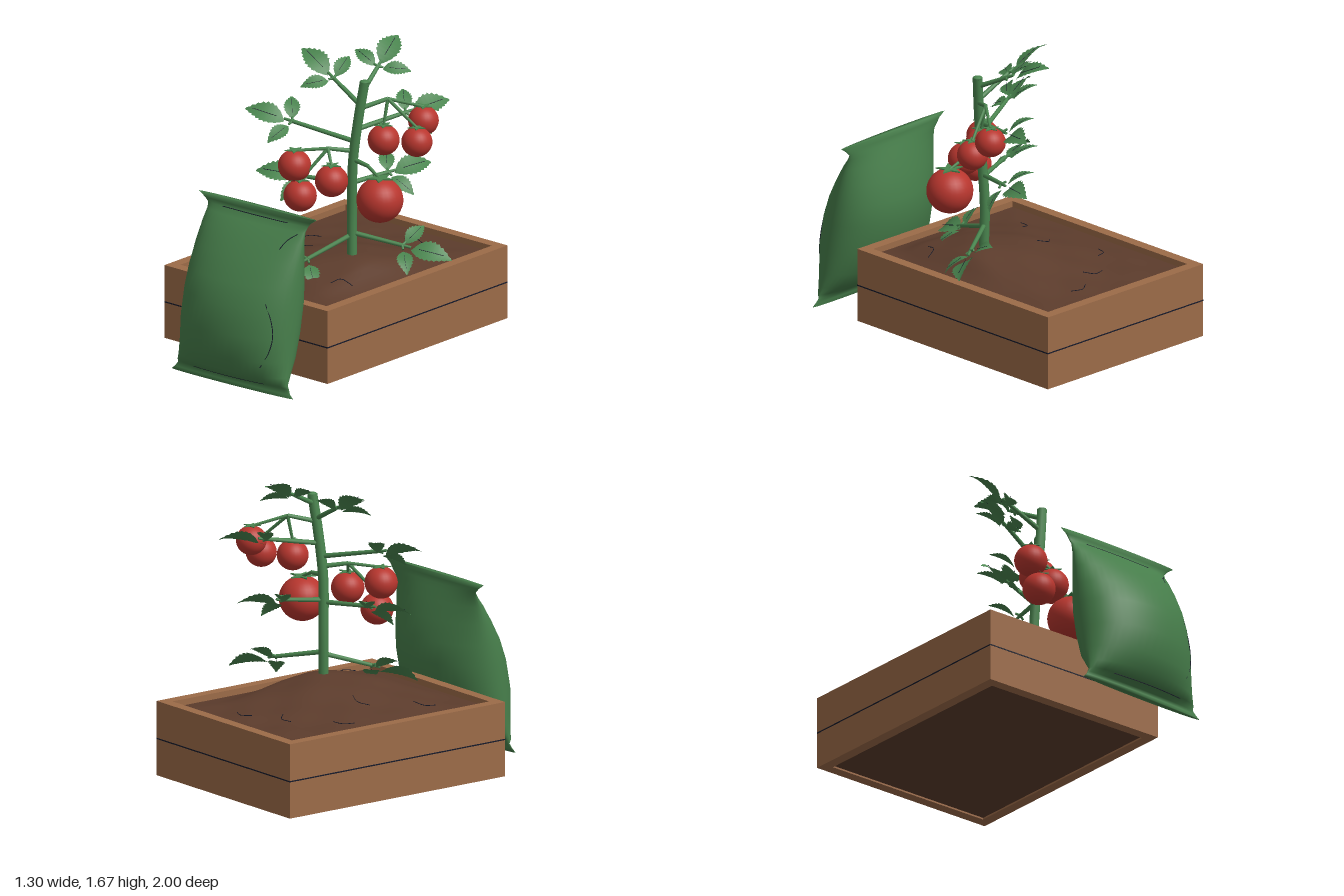
import * as THREE from 'three';

const V = (x, y, z) => new THREE.Vector3(x, y, z);
const UP = V(0, 1, 0);

export function createModel() {
  const model = new THREE.Group();
  const material = (name, color, side = THREE.FrontSide) =>
    Object.assign(new THREE.MeshStandardMaterial({ color, side }), { name });
  const wood = material('wood', 0x9c6b48);
  const soil = material('soil', 0x5c3c2c);
  const bagGreen = material('bag green', 0x467d4a, THREE.DoubleSide);
  const plantGreen = material('plant green', 0x4a854f, THREE.DoubleSide);
  const red = material('tomato red', 0xb8362e);
  const ink = material('dark line', 0x161a2a, THREE.DoubleSide);

  function add(name, geometry, mat, parent = model) {
    const mesh = new THREE.Mesh(geometry, mat);
    mesh.name = name;
    parent.add(mesh);
    return mesh;
  }
  function group(name) {
    const g = new THREE.Group();
    g.name = name;
    model.add(g);
    return g;
  }
  function box(name, size, pos, mat, parent) {
    add(name, new THREE.BoxGeometry(...size), mat, parent).position.set(...pos);
  }
  // Straight rod between two points
  function rod(name, a, b, r, parent, mat = plantGreen) {
    const m = add(name, new THREE.CylinderGeometry(r * 0.8, r, a.distanceTo(b), 8), mat, parent);
    m.position.copy(a).lerp(b, 0.5);
    m.quaternion.setFromUnitVectors(UP, b.clone().sub(a).normalize());
  }
  function line(name, points, parent, r = 0.003) {
    add(name, new THREE.TubeGeometry(new THREE.CatmullRomCurve3(points), 16, r, 4), ink, parent);
  }

  // Planter: four walls with a dark joint between upper and lower boards
  const planter = group('planter');
  const cx = -0.0625, cz = -0.25, W = 1.195, D = 1.5, H = 0.423, T = 0.062;
  for (const s of [-1, 1]) {
    box('sideWall', [T, H, D], [cx + s * (W - T) / 2, H / 2, cz], wood, planter);
    box('endWall', [W - 2 * T, H, T], [cx, H / 2, cz + s * (D - T) / 2], wood, planter);
    box('sideJoint', [0.003, 0.007, D], [cx + s * W / 2, 0.21, cz], ink, planter);
    box('endJoint', [W, 0.007, 0.003], [cx, 0.21, cz + s * D / 2], ink, planter);
  }

  // Soil block with a mound around the stem and gentle lumps
  const soilHeight = (x, z) => {
    const edge = Math.min(1, (0.537 - Math.abs(x - cx)) * 6, (0.69 - Math.abs(z - cz)) * 6);
    const d2 = (x - 0.12) ** 2 + (z + 0.12) ** 2;
    return 0.388 + Math.max(0, edge) *
      (0.127 * Math.exp(-d2 / 0.19) + 0.006 * Math.sin(x * 17 + 1) * Math.sin(z * 14));
  };
  const soilGeo = new THREE.BoxGeometry(W - 2 * T, 0.4, D - 2 * T, 28, 1, 36);
  soilGeo.translate(cx, 0.21, cz);
  const sp = soilGeo.attributes.position;
  for (let i = 0; i < sp.count; i++) {
    if (sp.getY(i) > 0.3) sp.setY(i, soilHeight(sp.getX(i), sp.getZ(i)));
  }
  soilGeo.computeVertexNormals();
  add('soil', soilGeo, soil, planter);
  for (const [x, z, turn] of [[-0.42, -0.44, 0.8], [-0.16, -0.65, -0.3], [0.06, -0.77, 0.1],
    [-0.24, -0.19, 0.2], [0.32, 0.14, 0.8], [-0.4, 0.14, 0.9]]) {
    const pts = [-1, 0, 1].map((k) => {
      const u = k * 0.06, v = k * k * 0.03 - 0.015;
      const px = x + u * Math.cos(turn) + v * Math.sin(turn);
      const pz = z - u * Math.sin(turn) + v * Math.cos(turn);
      return V(px, soilHeight(px, pz) + 0.002, pz);
    });
    line('soilCrease', pts, planter, 0.002);
  }

  // Bag: horizontal sections [y, back z, front z, half width]
  const bag = group('bag');
  const sections = [
    [0, 0.82, 0.86, 0.428], [0.02, 0.82, 0.855, 0.405], [0.045, 0.81, 0.85, 0.39],
    [0.065, 0.775, 0.9, 0.385], [0.11, 0.70, 0.945, 0.38], [0.2, 0.61, 0.98, 0.378],
    [0.34, 0.545, 0.998, 0.377], [0.5, 0.513, 0.97, 0.375], [0.62, 0.518, 0.92, 0.37],
    [0.74, 0.545, 0.84, 0.362], [0.84, 0.575, 0.755, 0.352], [0.9, 0.596, 0.685, 0.345],
    [0.93, 0.605, 0.645, 0.352], [0.955, 0.612, 0.644, 0.375], [0.982, 0.61, 0.646, 0.415],
  ];
  const BX = 0.137, yaw = 0.045, ring = 48;
  const bagPos = [], bagIdx = [];
  sections.forEach(([y, zb, zf, w], j) => {
    for (let i = 0; i < ring; i++) {
      const a = (i / ring) * Math.PI * 2;
      const x = w * Math.cos(a);
      bagPos.push(BX + x, y, (zb + zf) / 2 + (zf - zb) / 2 * Math.sin(a) - yaw * x);
      if (j === 0) continue;
      const n = (i + 1) % ring, p = (j - 1) * ring, q = j * ring;
      bagIdx.push(p + i, q + i, p + n, p + n, q + i, q + n);
    }
  });
  // Closed ends of the seams
  const lastRing = (sections.length - 1) * ring;
  for (let i = 1; i < ring - 1; i++) {
    bagIdx.push(0, i, i + 1, lastRing, lastRing + i + 1, lastRing + i);
  }
  const bagGeo = new THREE.BufferGeometry();
  bagGeo.setAttribute('position', new THREE.Float32BufferAttribute(bagPos, 3));
  bagGeo.setIndex(bagIdx);
  bagGeo.computeVertexNormals();
  add('bagBody', bagGeo, bagGreen, bag);
  const onBag = (x, y) => {
    const j = Math.max(1, sections.findIndex((s) => s[0] >= y));
    const [a, b] = [sections[j - 1], sections[j]];
    const t = (y - a[0]) / (b[0] - a[0]);
    const [, zb, zf, w] = a.map((v, k) => v + (b[k] - v) * t);
    const u = x - BX;
    return V(x, y, (zb + zf) / 2 + (zf - zb) / 2 * Math.sqrt(Math.max(0, 1 - (u / w) ** 2)) - yaw * u);
  };
  line('bagCrease', [[0.4, 0.17], [0.445, 0.26], [0.46, 0.35], [0.445, 0.44], [0.41, 0.53]].map((p) => onBag(...p)), bag);
  line('bagCrease', [[0.39, 0.81], [0.41, 0.855], [0.45, 0.89]].map((p) => onBag(...p)), bag);
  line('bagSeam', [-0.1, 0.05, 0.2, 0.36].map((x) => onBag(x, 0.93)), bag);
  line('bagSeam', [-0.1, 0.07, 0.23, 0.39].map((x) => onBag(x, 0.062)), bag);

  // Main stem
  const plant = group('tomatoPlant');
  const stem = new THREE.CatmullRomCurve3([V(0.17, 0.45, -0.12), V(0.165, 0.75, -0.125),
    V(0.18, 1.05, -0.115), V(0.21, 1.3, -0.125), V(0.24, 1.525, -0.145)]);
  add('stem', new THREE.TubeGeometry(stem, 24, 0.028, 10), plantGreen, plant);
  const cap = add('stemTip', new THREE.SphereGeometry(0.028, 10, 6), plantGreen, plant);
  cap.position.copy(stem.getPoint(1));
  cap.scale.y = 0.4;
  const stemAt = (y) => stem.getPoint(THREE.MathUtils.clamp((y - 0.45) / 1.075, 0, 1));

  // Serrated leaf blade of unit length along +x, facing +y
  const leafPos = [], leafIdx = [], rows = 18;
  for (let i = 0; i <= rows; i++) {
    const t = i / rows;
    const w = 0.3 * Math.sin(Math.PI * Math.pow(t, 0.8)) * (i % 2 ? 1 : 0.84);
    const back = i % 2 ? 0.02 : 0;
    const lift = -0.12 * (2 * t - 1) ** 2;
    leafPos.push(t + back, lift + w * 0.15, -w, t, lift, 0, t + back, lift + w * 0.15, w);
    if (i === 0) continue;
    const p = (i - 1) * 3, q = i * 3;
    for (const k of [0, 1]) leafIdx.push(p + k, p + k + 1, q + k, q + k, p + k + 1, q + k + 1);
  }
  const leafGeo = new THREE.BufferGeometry();
  leafGeo.setAttribute('position', new THREE.Float32BufferAttribute(leafPos, 3));
  leafGeo.setIndex(leafIdx);
  leafGeo.computeVertexNormals();
  const ribGeo = new THREE.BoxGeometry(0.6, 0.008, 0.012).translate(0.5, 0.005, 0);
  const facing = V(0.42, 0.8, 0.42).normalize();

  function leaflet(base, dir, length) {
    const x = dir.clone().normalize();
    const z = x.clone().cross(facing).normalize();
    const leaf = new THREE.Group();
    leaf.name = 'leaflet';
    leaf.quaternion.setFromRotationMatrix(new THREE.Matrix4().makeBasis(x, z.clone().cross(x), z));
    leaf.position.copy(base);
    leaf.scale.setScalar(length);
    add('leafBlade', leafGeo, plantGreen, leaf);
    add('leafRib', ribGeo, ink, leaf);
    plant.add(leaf);
  }

  // Compound leaves: [height on stem, tip x, y, z]
  for (const [y, ...tip] of [
    [1.36, -0.24, 1.62, -0.17], [1.46, 0.12, 1.68, -0.56], [1.12, -0.4, 1.31, 0.12],
    [1.2, 0.4, 1.34, -0.67], [0.87, -0.36, 0.95, 0.08], [0.88, 0.33, 0.98, -0.6],
    [0.62, 0.65, 0.53, -0.4], [0.61, 0, 0.45, 0.4],
  ]) {
    const start = stemAt(y), end = V(...tip);
    const dir = end.clone().sub(start).normalize();
    const joint = end.clone().addScaledVector(dir, -0.28);
    const base = end.clone().addScaledVector(dir, -0.23);
    rod('petiole', start, joint, 0.014, plant);
    rod('petioleTip', joint, base, 0.009, plant);
    leaflet(base, dir, 0.235);
    for (const s of [-1, 1]) {
      const side = dir.clone().applyAxisAngle(facing, s * 1.15);
      const foot = joint.clone().addScaledVector(side, 0.03);
      rod('leafletStalk', joint, foot, 0.008, plant);
      leaflet(foot, side, 0.16);
    }
  }

  // Five-pointed calyx
  const star = new THREE.Shape();
  for (let i = 0; i < 10; i++) {
    const a = (i / 10) * Math.PI * 2, r = i % 2 ? 0.28 : 0.68;
    star[i ? 'lineTo' : 'moveTo'](r * Math.sin(a), r * Math.cos(a));
  }
  const starGeo = new THREE.ExtrudeGeometry(star, { depth: 0.06, bevelEnabled: false }).rotateX(-Math.PI / 2);

  // Fruit trusses: stem height, elbow point, then fruits [x, y, z, radius]
  for (const [y, elbow, fruits] of [
    [1.34, [0.3, 1.41, -0.27], [[0.42, 1.27, -0.43, 0.085], [0.46, 1.18, -0.33, 0.086], [0.3, 1.18, -0.235, 0.088]]],
    [1.06, [0.09, 1.14, -0.01], [[-0.05, 1.04, 0.11, 0.092], [0, 0.88, 0.12, 0.092], [0.16, 0.98, 0.04, 0.092]]],
    [1.01, [0.3, 1.06, -0.105], [[0.4, 0.89, -0.09, 0.13]]],
  ]) {
    const bend = V(...elbow);
    rod('trussStem', stemAt(y), bend, 0.014, plant);
    for (const [fx, fy, fz, r] of fruits) {
      const top = V(fx, fy + r * 0.95, fz);
      rod('fruitStalk', bend, top, 0.01, plant);
      const fruit = add('tomato', new THREE.SphereGeometry(r, 28, 20), red, plant);
      fruit.position.set(fx, fy, fz);
      fruit.scale.y = 0.97;
      const calyx = add('calyx', starGeo, plantGreen, plant);
      calyx.position.copy(top);
      calyx.scale.setScalar(r * 0.9);
    }
  }
  return model;
}
